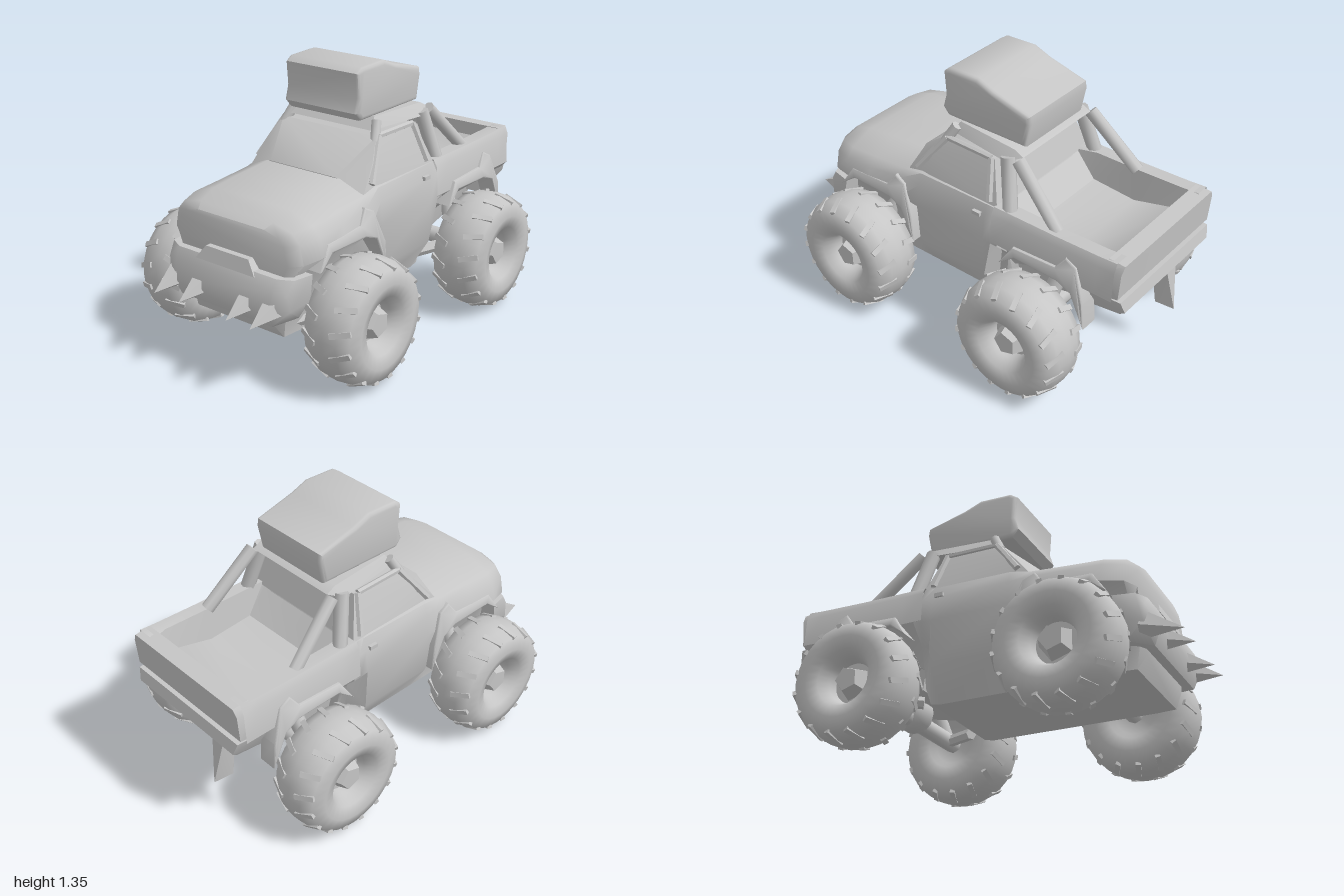
import * as THREE from 'three';
import { toCreasedNormals } from 'three/addons/utils/BufferGeometryUtils.js';
import { ConvexGeometry } from 'three/addons/geometries/ConvexGeometry.js';

const grey = new THREE.MeshStandardMaterial({ color: 0xc6c6c6, side: THREE.DoubleSide });
grey.name = 'light grey';

function add(parent, name, geometry, crease = 0.7) {
  const mesh = new THREE.Mesh(toCreasedNormals(geometry, crease), grey);
  mesh.name = name;
  parent.add(mesh);
  return mesh;
}

// Convex solid around a few corner points
const hull = (pts) => new ConvexGeometry(pts.map((p) => new THREE.Vector3(...p)));

// Convex solid from points on the +x side, mirrored in x
const mirrorHull = (pts) => hull(pts.flatMap(([x, y, z]) => [[x, y, z], [-x, y, z]]));

// Symmetric loft front to back; each station is [z, [x, y], ...] up the +x side
function loft(stations, capped) {
  const rings = stations.map(([z, ...half]) => {
    const left = half.map(([x, y]) => [-x, y]).reverse();
    return [...half, ...left].map(([x, y]) => [x, y, z]);
  });
  const n = rings[0].length;
  const idx = [];
  for (let i = 0; i < rings.length - 1; i++) {
    for (let j = 0; j < n; j++) {
      const a = i * n + j, b = i * n + (j + 1) % n;
      idx.push(a, a + n, b + n, a, b + n, b);
    }
  }
  if (capped) {
    const last = (rings.length - 1) * n;
    for (let j = 0; j < n / 2 - 1; j++) {
      const a = j, b = j + 1, c = n - 2 - j, d = n - 1 - j;
      idx.push(a, b, c, a, c, d);
      idx.push(last + a, last + c, last + b, last + a, last + d, last + c);
    }
  }
  const g = new THREE.BufferGeometry();
  g.setAttribute('position', new THREE.Float32BufferAttribute(rings.flat(2), 3));
  g.setIndex(idx);
  return g;
}

// Side outline in [z, y], extruded across x around a centre
function sideExtrude(pts, centre, width, bevel) {
  const shape = new THREE.Shape(pts.map(([z, y]) => new THREE.Vector2(z, y)));
  const depth = width - 2 * bevel;
  const g = new THREE.ExtrudeGeometry(shape, {
    depth, bevelSize: bevel, bevelThickness: bevel, bevelOffset: -bevel, bevelSegments: 3,
  });
  return g.translate(0, 0, -depth / 2).rotateY(-Math.PI / 2).translate(centre, 0, 0);
}

// Wheel-arch flare whose upper part leans in with the body side
function makeFlare(side, offset) {
  const g = sideExtrude([[0.69, 0.58], [0.62, 0.69], [0.38, 0.70], [0.33, 0.77], [0.27, 0.74], [0.21, 0.58],
    [0.20, 0.44], [0.23, 0.50], [0.28, 0.61], [0.36, 0.64], [0.60, 0.645]], side * 0.38, 0.1, 0.008);
  const p = g.attributes.position;
  for (let i = 0; i < p.count; i++) {
    p.setX(i, p.getX(i) - side * 0.2 * Math.max(0, p.getY(i) - 0.62));
  }
  return g.translate(0, 0, offset);
}

// Round bar between two points
function bar(parent, name, from, to, r, sides = 8) {
  const a = new THREE.Vector3(...from), b = new THREE.Vector3(...to);
  const m = add(parent, name, new THREE.CylinderGeometry(r, r, a.distanceTo(b), sides), 1);
  m.position.copy(a).add(b).multiplyScalar(0.5);
  m.quaternion.setFromUnitVectors(new THREE.Vector3(0, 1, 0), b.sub(a).normalize());
}

// Fat tyre with recessed rim, faceted hub and staggered tread lugs; outer side is +x
function makeWheel() {
  const wheel = new THREE.Group();
  const profile = [[0, -0.1], [0.1, -0.1], [0.13, -0.13], [0.2, -0.143], [0.265, -0.125], [0.293, -0.07], [0.3, 0],
    [0.293, 0.07], [0.265, 0.125], [0.2, 0.143], [0.14, 0.125], [0.11, 0.07], [0.1, 0.03], [0, 0.03]];
  const tyre = new THREE.LatheGeometry(profile.map((p) => new THREE.Vector2(...p)), 28);
  add(wheel, 'tyre', tyre.rotateZ(-Math.PI / 2), 0.9);
  add(wheel, 'hub', new THREE.CylinderGeometry(0.06, 0.09, 0.08, 5).rotateZ(-Math.PI / 2).translate(0.06, 0, 0), 0.4);
  for (let i = 0; i < 32; i++) {
    const side = i % 2 ? 1 : -1;
    const lug = add(wheel, 'treadLug', new THREE.BoxGeometry(0.1, 0.018, 0.026)
      .rotateY(side * 0.3).rotateZ(-side * 0.33).translate(side * 0.084, 0.28, 0));
    lug.rotation.x = (i / 32) * Math.PI * 2;
  }
  return wheel;
}

export function createModel() {
  const truck = new THREE.Group();
  truck.name = 'offRoadPickup';

  // Crowned hood, doors and flat-bottomed tub
  add(truck, 'body', loft([
    [0.80, [0.24, 0.32], [0.28, 0.48], [0.33, 0.62], [0.31, 0.71], [0.28, 0.745], [0.20, 0.765]],
    [0.76, [0.27, 0.25], [0.30, 0.52], [0.39, 0.63], [0.37, 0.72], [0.33, 0.765], [0.22, 0.79]],
    [0.66, [0.28, 0.25], [0.31, 0.55], [0.42, 0.64], [0.40, 0.73], [0.36, 0.775], [0.23, 0.825]],
    [0.50, [0.28, 0.25], [0.31, 0.57], [0.42, 0.65], [0.40, 0.74], [0.36, 0.785], [0.23, 0.842]],
    [0.30, [0.28, 0.25], [0.31, 0.55], [0.41, 0.66], [0.385, 0.76], [0.36, 0.80], [0.22, 0.862]],
    [0.19, [0.28, 0.25], [0.385, 0.42], [0.395, 0.64], [0.385, 0.76], [0.365, 0.82], [0.22, 0.86]],
    [-0.22, [0.28, 0.25], [0.385, 0.42], [0.395, 0.64], [0.385, 0.76], [0.365, 0.825], [0.22, 0.835]],
    [-0.27, [0.28, 0.26], [0.31, 0.55], [0.40, 0.64], [0.39, 0.76], [0.365, 0.825], [0.22, 0.83]],
    [-0.31, [0.26, 0.35], [0.31, 0.55], [0.40, 0.64], [0.39, 0.72], [0.37, 0.75], [0.22, 0.76]],
  ], true), 0.95);

  // Solid cab with sloping windscreen
  add(truck, 'cab', mirrorHull([
    [0.20, 0.865, 0.30], [0.35, 0.805, 0.28], [0.36, 0.82, -0.28], [0.325, 0.93, 0.18],
    [0.285, 1.03, 0.10], [0.29, 1.03, -0.21],
  ]), 0.8);

  // Roof panel floating just above the cab
  add(truck, 'roof', mirrorHull([
    [0.25, 1.05, 0.09], [0.23, 1.105, 0.04], [0.30, 1.05, -0.28],
    [0.26, 1.105, -0.30], [0.26, 1.08, -0.35],
  ]), 0.6);

  // Open cargo bed with a bowl-shaped floor, and tailgate
  const bed = (z, yb, top, floor) => [z, [0.26, yb], [0.33, 0.58], [0.40, 0.65], [0.39, 0.80], [0.37, top],
    [0.30, top], [0.28, floor]];
  add(truck, 'cargoBed', loft([
    bed(-0.27, 0.44, 0.835, 0.825), bed(-0.38, 0.48, 0.835, 0.69),
    bed(-0.62, 0.52, 0.835, 0.67), bed(-0.86, 0.53, 0.84, 0.73), bed(-0.95, 0.54, 0.845, 0.83),
  ]), 0.7);
  add(truck, 'tailgate', mirrorHull([
    [0.36, 0.845, -0.90], [0.36, 0.84, -0.985], [0.39, 0.80, -0.90], [0.38, 0.80, -0.98], [0.38, 0.66, -0.97],
    [0.36, 0.63, -0.90],
  ]), 0.7);
  add(truck, 'rearBumper', mirrorHull([
    [0.38, 0.64, -0.82], [0.37, 0.64, -0.98], [0.35, 0.58, -0.995], [0.32, 0.53, -0.95], [0.31, 0.50, -0.80],
  ]), 0.6);

  // Rounded front bumper, raised guard and spikes
  add(truck, 'frontBumper', mirrorHull([
    [0.39, 0.57, 0.70], [0.37, 0.57, 0.80], [0.30, 0.57, 0.835], [0.36, 0.51, 0.84], [0.29, 0.52, 0.865],
    [0.29, 0.42, 0.885], [0.37, 0.43, 0.83], [0.39, 0.45, 0.72], [0.34, 0.36, 0.74], [0.28, 0.34, 0.85],
  ]), 1);
  add(truck, 'bumperGuard', mirrorHull([
    [0.18, 0.55, 0.79], [0.18, 0.55, 0.85], [0.13, 0.615, 0.79], [0.13, 0.615, 0.83],
  ]), 0.5);
  for (const x of [-0.31, -0.15, 0.14, 0.28]) {
    const spike = add(truck, 'bumperSpike', new THREE.ConeGeometry(0.07, 0.19, 5).rotateX(Math.PI / 2), 0.5);
    spike.position.set(x, 0.41, 0.905);
    spike.rotation.x = 0.25;
  }

  // Luggage case on the roof
  add(truck, 'roofCase', sideExtrude([
    [0.13, 1.10], [0.165, 1.14], [0.145, 1.21], [0.155, 1.33], [0.12, 1.355], [-0.05, 1.36], [-0.14, 1.325],
    [-0.35, 1.27], [-0.355, 1.23], [-0.33, 1.105],
  ], 0, 0.45, 0.022), 0.8);

  for (const s of [1, -1]) {
    // Roll bars behind the cab and short roof posts
    bar(truck, 'rollBarUpright', [s * 0.28, 1.07, -0.28], [s * 0.335, 0.82, -0.34], 0.036);
    bar(truck, 'rollBarBrace', [s * 0.28, 1.07, -0.34], [s * 0.32, 0.82, -0.60], 0.033);
    bar(truck, 'roofPost', [s * 0.25, 1.09, 0.05], [s * 0.28, 1.0, 0.10], 0.025);
    // Raised frame around the side window
    bar(truck, 'windowPillar', [s * 0.285, 1.03, 0.08], [s * 0.35, 0.84, 0.22], 0.017, 6);
    bar(truck, 'windowPillar', [s * 0.29, 1.03, -0.19], [s * 0.355, 0.84, -0.23], 0.017, 6);
    bar(truck, 'windowRail', [s * 0.285, 1.03, 0.08], [s * 0.29, 1.03, -0.19], 0.015, 6);
    const handle = add(truck, 'doorHandle', new THREE.BoxGeometry(0.02, 0.02, 0.045));
    handle.position.set(s * 0.387, 0.77, -0.18);

    for (const offset of [0, -1.03]) {
      add(truck, 'fenderFlare', makeFlare(s, offset), 0.8);
      // Suspension arms and wheel
      bar(truck, 'suspensionStrut', [s * 0.24, 0.58, offset + 0.44], [s * 0.34, 0.32, offset + 0.5], 0.04);
      bar(truck, 'trailingArm', [s * 0.24, 0.29, offset + 0.70], [s * 0.35, 0.31, offset + 0.5], 0.03, 6);
      const wheel = makeWheel();
      wheel.name = offset ? 'rearWheel' : 'frontWheel';
      wheel.position.set(s * 0.515, 0.315, 0.5 + offset);
      if (s < 0) wheel.rotation.y = Math.PI;
      truck.add(wheel);
    }
  }

  // Tow hook hanging under the tail
  add(truck, 'towHook', hull([
    [-0.11, 0.53, -0.86], [-0.19, 0.53, -0.86], [-0.11, 0.50, -0.93], [-0.19, 0.50, -0.93], [-0.12, 0.27, -0.88],
    [-0.18, 0.27, -0.88], [-0.15, 0.25, -0.97], [-0.15, 0.38, -0.84],
  ]), 0.5);

  // Axles, differential and rear frame
  for (const z of [0.5, -0.53]) bar(truck, 'axle', [-0.42, 0.315, z], [0.42, 0.315, z], 0.045);
  const diff = add(truck, 'differential', new THREE.SphereGeometry(0.1, 10, 8), 1);
  diff.position.set(0, 0.35, -0.53);
  add(truck, 'rearFrame', mirrorHull([
    [0.26, 0.56, -0.30], [0.24, 0.36, -0.34], [0.22, 0.42, -0.62], [0.26, 0.58, -0.88], [0.22, 0.46, -0.84],
  ]), 0.5);

  return truck;
}
